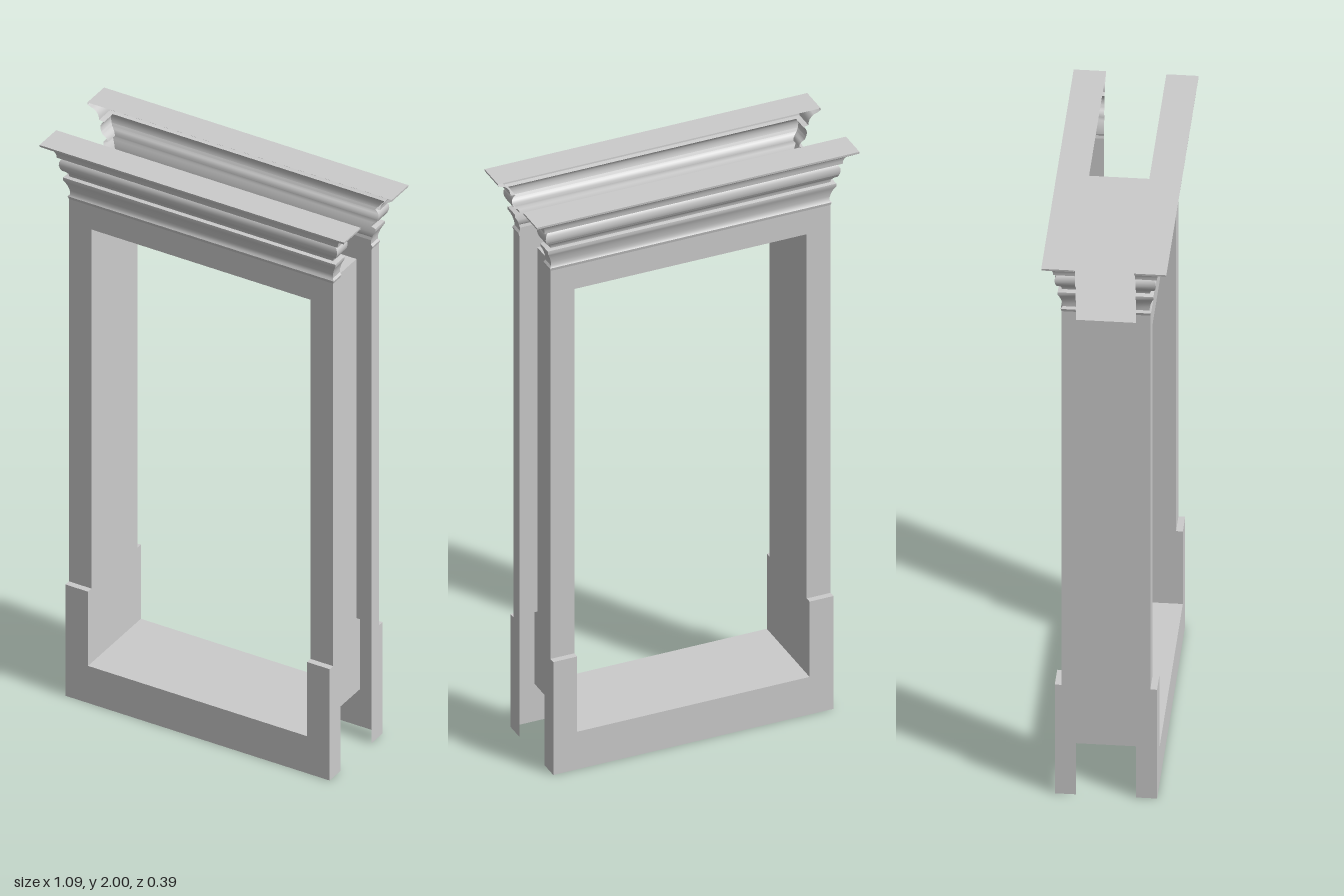
import * as THREE from 'three';
import { toCreasedNormals } from 'three/addons/utils/BufferGeometryUtils.js';

const W = 0.474, IN = 0.393;              // half widths: frame, opening
const BOTTOM = 0.135, TOP = 1.712;        // opening heights
const STEP = 0.405, HEAD = 1.797;         // plinth top, frame top
const BACK = 0.093, FACE = 0.137, PLINTH = 0.158; // depths

const material = new THREE.MeshStandardMaterial({ color: 0xcccccc, side: THREE.DoubleSide });

function add(group, name, geometry) {
  const mesh = new THREE.Mesh(geometry, material);
  mesh.name = name;
  group.add(mesh);
  return mesh;
}

// Skin over rows of [x, y, z] points
function loft(rows, crease = 0.1) {
  const n = rows[0].length, index = [];
  for (let i = 0; i < rows.length - 1; i++) {
    for (let j = 0; j < n - 1; j++) {
      const a = i * n + j, d = a + n;
      index.push(a, a + 1, d + 1, a, d + 1, d);
    }
  }
  const g = new THREE.BufferGeometry();
  g.setAttribute('position', new THREE.Float32BufferAttribute(rows.flat(2), 3));
  g.setIndex(index);
  return toCreasedNormals(g, crease);
}

// Polyline in x, y drawn out from z0 to z1
const band = (pts, z0, z1) => loft([z0, z1].map(z => pts.map(([x, y]) => [x, y, z])));

// Flat face from an outline at depth z
function face(pts, z) {
  const g = new THREE.ShapeGeometry(new THREE.Shape(pts.map(p => new THREE.Vector2(...p))));
  return g.translate(0, 0, z);
}

// Moulding profile: [overhang, height]
const PROFILE = [
  [0, 1.797], [0.003, 1.807], [-0.003, 1.814], [-0.002, 1.828], [0.003, 1.845],
  [0.009, 1.858], [0.014, 1.866], [0.014, 1.876], [-0.001, 1.879], [0.001, 1.888],
  [0.008, 1.896], [0.017, 1.901], [0.022, 1.91], [0.025, 1.922], [0.024, 1.933],
  [0.019, 1.942], [0.013, 1.947], [0.03, 1.95], [0.031, 1.96], [0.035, 1.971],
  [0.042, 1.979], [0.048, 1.984], [0.06, 1.987], [0.071, 1.993], [0.072, 2],
];

function casing() {
  const g = new THREE.Group();

  // Upper casing: face, reveals and outer sides
  const upperOpening = [[-IN, STEP], [-IN, TOP], [IN, TOP], [IN, STEP]];
  add(g, 'upperFace', face([[W, STEP], [W, HEAD], [-W, HEAD], [-W, STEP], ...upperOpening], FACE));
  add(g, 'upperReveal', band(upperOpening, BACK, FACE));

  // Thicker lower casing with the sill rail
  const lowerOpening = [[IN, STEP], [IN, BOTTOM], [-IN, BOTTOM], [-IN, STEP]];
  add(g, 'lowerFace', face([[-W, STEP], [-W, 0], [W, 0], [W, STEP], ...lowerOpening], PLINTH));
  add(g, 'lowerReveal', band(lowerOpening, BACK, PLINTH));

  for (const s of [1, -1]) {
    const order = pts => (s > 0 ? pts : pts.reverse());
    add(g, 'upperSide', band(order([[s * W, STEP], [s * W, HEAD]]), BACK, FACE));
    add(g, 'lowerSide', band(order([[s * W, 0], [s * W, STEP]]), BACK, PLINTH));
    add(g, 'plinthTop', band(order([[s * W, STEP], [s * IN, STEP]]), FACE, PLINTH));
  }

  // Cornice returning around both ends, open at the back
  const rows = PROFILE.map(([o, y]) => {
    const x = W + o, z = FACE + o * 0.78;
    return [[-x, y, BACK], [-x, y, z], [x, y, z], [x, y, BACK]];
  });
  add(g, 'cornice', loft(rows, 0.7));
  const [a, b, c, d] = rows[rows.length - 1];
  add(g, 'corniceTop', loft([[b, c], [a, d]]));
  return g;
}

export function createModel() {
  const model = new THREE.Group();
  model.name = 'doorFrame';

  // Thin lining through the wall
  add(model, 'lining', band(
    [[-IN, BOTTOM], [-IN, TOP], [IN, TOP], [IN, BOTTOM], [-IN, BOTTOM]], -BACK, BACK));

  // Matching casings on both sides of the wall
  const front = casing();
  front.name = 'frontCasing';
  const back = casing();
  back.name = 'backCasing';
  back.rotation.y = Math.PI;
  model.add(front, back);
  return model;
}
